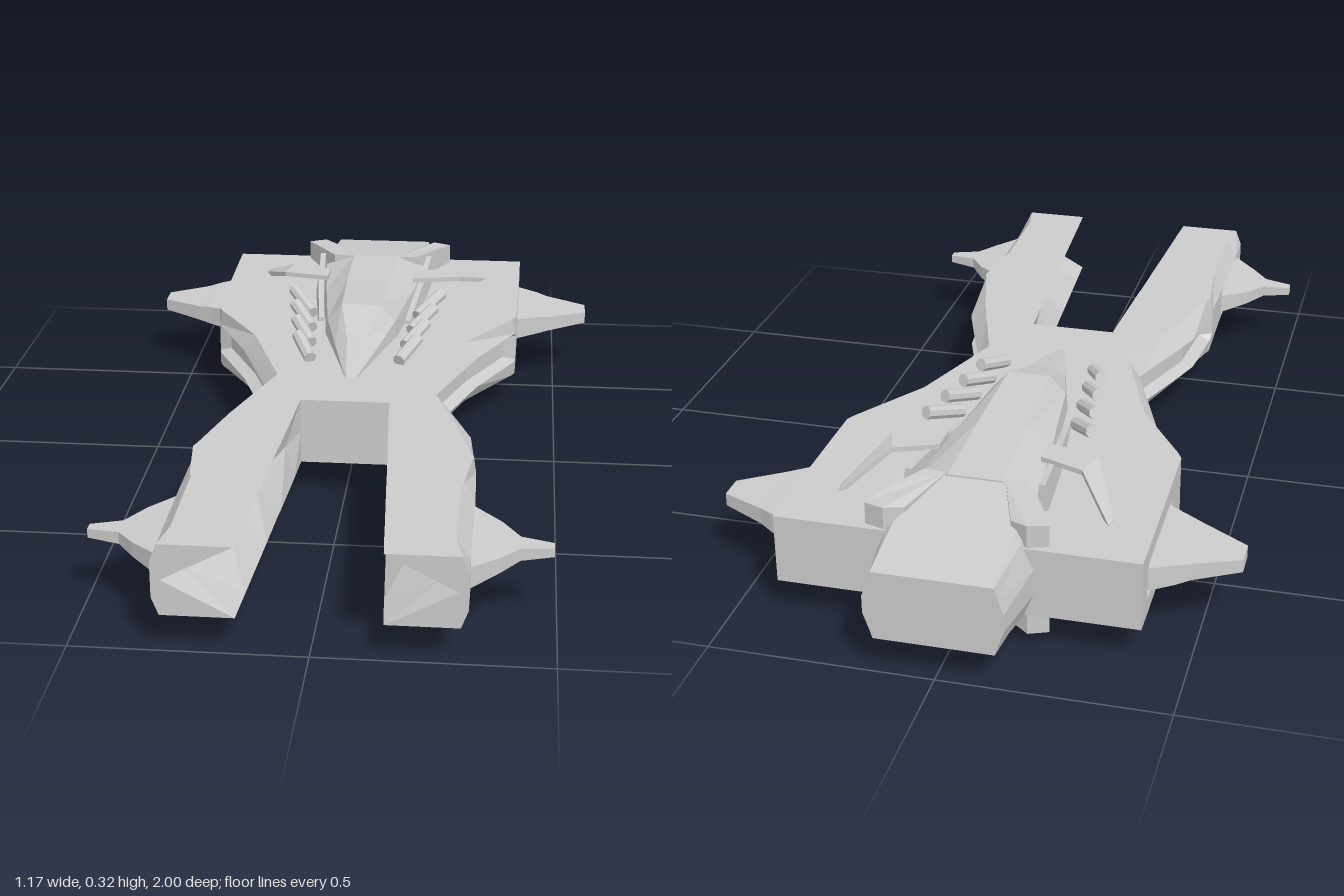
import * as THREE from 'three';

const MID = 0.165; // height of the horizontal symmetry plane
const mat = new THREE.MeshStandardMaterial({ color: 0xcccccc, flatShading: true, side: THREE.DoubleSide });

// Skin counter-clockwise rings, listed from high z to low z, and cap both ends
function loft(sections) {
  const pos = [], idx = [], n = sections[0].ring.length;
  for (const s of sections) for (const [x, y] of s.ring) pos.push(x, y, s.z);
  for (let i = 0; i < sections.length - 1; i++) for (let j = 0; j < n; j++) {
    const a = i * n + j, b = i * n + (j + 1) % n;
    idx.push(a, a + n, b, b, a + n, b + n);
  }
  const cap = (k, flip) => {
    const pts = sections[k].ring.map(p => new THREE.Vector2(...p));
    for (const [a, b, c] of THREE.ShapeUtils.triangulateShape(pts, [])) {
      idx.push(...(flip ? [a, c, b] : [a, b, c]).map(v => v + k * n));
    }
  };
  cap(0, false);
  cap(sections.length - 1, true);
  const g = new THREE.BufferGeometry();
  g.setAttribute('position', new THREE.Float32BufferAttribute(pos, 3));
  g.setIndex(idx);
  return finish(g);
}

function finish(g) {
  const out = g.index ? g.toNonIndexed() : g;
  out.computeVertexNormals();
  return out;
}

// Reflected copy with the face winding restored
function reflect(geo, sx, sy) {
  const g = geo.clone().scale(sx, sy, 1);
  if (sx * sy < 0) {
    const p = g.attributes.position, a = new THREE.Vector3(), b = new THREE.Vector3();
    for (let i = 0; i < p.count; i += 3) {
      a.fromBufferAttribute(p, i + 1);
      b.fromBufferAttribute(p, i + 2);
      p.setXYZ(i + 1, b.x, b.y, b.z);
      p.setXYZ(i + 2, a.x, a.y, a.z);
    }
  }
  return finish(g);
}

// Octagonal-style ring: b = side, w = flat top, h = top, m = shoulder, s = side height
function bodyRing(b, w, h, mx, my, s) {
  const q = [[b, s], [mx, my], [w, h]];
  const upper = [...q, ...q.map(([x, y]) => [-x, y]).reverse()];
  return [...upper, ...upper.map(([x, y]) => [-x, -y])];
}

// Flat plate with corners [x, y, z] and a small thickness
function plate(corners, t = 0.012) {
  const n = corners.length, pos = [], idx = [];
  for (const d of [0, -t]) for (const [x, y, z] of corners) pos.push(x, y + d, z);
  for (let i = 0; i < n; i++) {
    const j = (i + 1) % n;
    idx.push(i, i + n, j, j, i + n, j + n);
    if (i > 0 && i < n - 1) idx.push(0, i, i + 1, n, n + i + 1, n + i);
  }
  const g = new THREE.BufferGeometry();
  g.setAttribute('position', new THREE.Float32BufferAttribute(pos, 3));
  g.setIndex(idx);
  return finish(g);
}

// Winglet sections: [x, front z, back z, half thickness], from tip to root
function winglet(rows) {
  return finish(loft(rows.map(([x, f, b, t]) => ({
    z: x, ring: [[-f, -t], [-b, -t], [-b, t], [-f, t]],
  }))).rotateY(Math.PI / 2));
}

export function createModel() {
  const model = new THREE.Group();
  const body = new THREE.Group();
  body.name = 'body';
  body.position.y = MID;
  model.add(body);
  const add = (name, geo) => {
    const m = new THREE.Mesh(geo, mat);
    m.name = name;
    body.add(m);
  };
  const addPair = (name, geo) => {
    add(name + 'Left', geo);
    add(name + 'Right', reflect(geo, -1, 1));
  };
  const addFour = (name, geo) => {
    addPair(name + 'Top', geo);
    addPair(name + 'Bottom', reflect(geo, 1, -1));
  };

  // Hull half with forked prong: z, inner x, inner x at mid height, bevel x, outer x, groove depth
  const hull = [
    [1, 0.15, 0.3, 0.305, 0.32, 0], [0.92, 0.145, 0.28, 0.29, 0.32, 0],
    [0.9, 0.144, 0.275, 0.29, 0.32, 0.025], [0.68, 0.131, 0.219, 0.29, 0.32, 0.025],
    [0.66, 0.13, 0.214, 0.295, 0.32, 0], [0.52, 0.122, 0.178, 0.312, 0.318, 0],
    [0.5, 0.12, 0.173, 0.305, 0.316, 0.03], [0.33, 0.11, 0.13, 0.26, 0.3, 0.03],
    [0.235, 0.105, 0.105, 0.23, 0.266, 0.03], [0.235, 0, 0, 0.23, 0.266, 0.03],
    [0.08, 0, 0, 0.18, 0.208, 0.03], [-0.18, 0, 0, 0.27, 0.302, 0.03],
    [-0.36, 0, 0, 0.385, 0.392, 0.03], [-0.38, 0, 0, 0.395, 0.395, 0],
    [-0.49, 0, 0, 0.397, 0.397, 0], [-0.5, 0, 0, 0.397, 0.397, 0.03],
    [-0.77, 0, 0, 0.4, 0.4, 0.03], [-0.78, 0, 0, 0.4, 0.4, 0], [-0.84, 0, 0, 0.4, 0.4, 0],
  ];
  addPair('hull', loft(hull.map(([z, inX, midX, t, o, d]) => ({
    z,
    ring: [[inX, -0.08], [t, -0.08], [o, -0.04], [o - d, -0.027], [o - d, 0.027],
      [o, 0.04], [t, 0.08], [inX, 0.08], [midX, 0]],
  }))));

  // Raised spine on both faces: z, base, top half width, height
  const spine = [[0.1, 0.012, 0.004, 0.081], [-0.08, 0.06, 0.025, 0.122], [-0.21, 0.095, 0.05, 0.162],
    [-0.45, 0.125, 0.058, 0.15], [-0.68, 0.15, 0.06, 0.14]];
  add('spine', loft(spine.map(([z, b, w, h]) => ({
    z, ring: bodyRing(b, w, h, b * 0.92, 0.08 + (h - 0.08) * 0.5, 0.06),
  }))));

  // Tail engine and the collar that surrounds it
  add('engine', loft([
    { z: -0.66, ring: bodyRing(0.15, 0.06, 0.14, 0.13, 0.11, 0.06) },
    { z: -0.84, ring: bodyRing(0.17, 0.13, 0.107, 0.145, 0.09, 0.03) },
    { z: -1, ring: bodyRing(0.15, 0.13, 0.08, 0.138, 0.055, 0.02) },
  ]));
  addFour('collar', plate([[0.065, 0.14, -0.67], [0.115, 0.142, -0.67], [0.165, 0.138, -0.75],
    [0.2, 0.13, -0.82], [0.155, 0.132, -0.835], [0.115, 0.125, -0.81]], 0.06));

  // Bent straps and upright fins beside the spine
  addFour('strapInner', plate([[0.115, 0.14, -0.49], [0.235, 0.138, -0.52], [0.215, 0.138, -0.59],
    [0.115, 0.14, -0.555]]));
  addFour('strapOuter', plate([[0.235, 0.138, -0.52], [0.305, 0.082, -0.68], [0.3, 0.082, -0.71],
    [0.215, 0.138, -0.59]]));
  addFour('fin', loft([[-0.3, 0.118, 0.09], [-0.52, 0.142, 0.125], [-0.68, 0.153, 0.142]].map(([z, x, y]) => ({
    z, ring: [[x - 0.015, 0.06], [x + 0.012, 0.06], [x + 0.002, y], [x - 0.012, y]],
  }))));

  // Rows of slanted tubes
  for (let i = 0; i < 4; i++) {
    const a = new THREE.Vector3(0.11 + i * 0.009, 0.09 + i * 0.003, -0.01 - i * 0.1);
    const b = new THREE.Vector3(0.15 + i * 0.015, 0.116 + i * 0.005, -0.1 - i * 0.1);
    const dir = b.clone().sub(a);
    const g = new THREE.CylinderGeometry(0.016, 0.016, dir.length(), 8)
      .applyQuaternion(new THREE.Quaternion().setFromUnitVectors(new THREE.Vector3(0, 1, 0), dir.normalize()))
      .translate(...a.add(b).multiplyScalar(0.5).toArray());
    addFour('tube' + (i + 1), finish(g));
  }

  // Side winglets
  addPair('rearWinglet', winglet([[0.583, -0.61, -0.67, 0.015], [0.48, -0.55, -0.72, 0.02],
    [0.45, -0.535, -0.74, 0.024], [0.39, -0.5, -0.775, 0.028], [0.36, -0.5, -0.775, 0.028]]));
  addPair('frontWinglet', winglet([[0.49, 0.81, 0.785, 0.01], [0.42, 0.825, 0.77, 0.014],
    [0.38, 0.875, 0.71, 0.017], [0.32, 0.935, 0.655, 0.024], [0.29, 0.9, 0.68, 0.024]]));

  return model;
}
